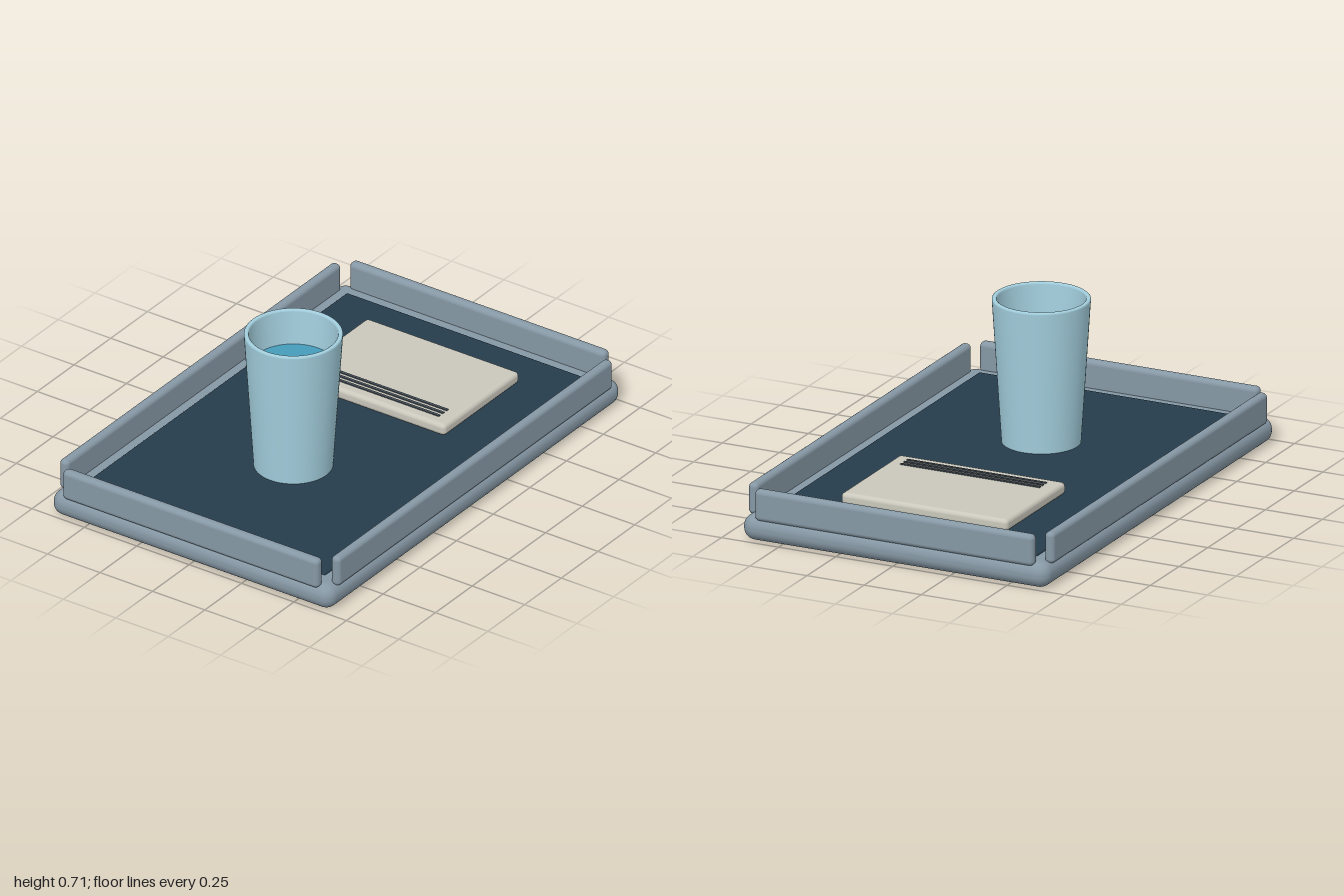
import * as THREE from 'three';
import { RoundedBoxGeometry } from 'three/addons/geometries/RoundedBoxGeometry.js';

const paint = (color, side = THREE.FrontSide) => new THREE.MeshStandardMaterial({ color, side });

export function createModel() {
  const model = new THREE.Group();
  const trayGrey = paint(0x8698a5);
  const glassBlue = paint(0xa3cfde);
  const liquidBlue = paint(0x469cba);
  const matNavy = paint(0x263c4b);
  const paper = paint(0xcac8bc);
  const ink = paint(0x47525c);

  const add = (name, geometry, material, x, y, z, parent = model) => {
    const mesh = new THREE.Mesh(geometry, material);
    mesh.name = name;
    mesh.position.set(x, y, z);
    parent.add(mesh);
    return mesh;
  };

  // Tray base with the inset mat
  add('trayBase', new RoundedBoxGeometry(2, 0.106, 1.34, 6, 0.05), trayGrey, 0, 0.053, 0);
  add('mat', new RoundedBoxGeometry(1.82, 0.03, 1.17, 3, 0.008), matNavy, 0, 0.1, 0);

  // Four upright rims, leaving open corners
  for (const s of [1, -1]) {
    add(s > 0 ? 'frontRim' : 'backRim',
      new RoundedBoxGeometry(1.87, 0.13, 0.042, 4, 0.019), trayGrey, 0, 0.155, s * 0.648);
    add(s > 0 ? 'leftRim' : 'rightRim',
      new RoundedBoxGeometry(0.045, 0.13, 1.22, 4, 0.02), trayGrey, s * 0.977, 0.155, 0);
  }

  // Tapered cup: outer wall, rounded lip, inner wall and floor
  const cup = new THREE.Group();
  cup.name = 'cup';
  cup.position.set(-0.29, 0.113, 0);
  model.add(cup);
  const profile = [
    [0, 0], [0.156, 0], [0.156, 0], [0.194, 0.588], [0.193, 0.594], [0.189, 0.597],
    [0.18, 0.597], [0.176, 0.594], [0.175, 0.588], [0.143, 0.03], [0.143, 0.03], [0, 0.03],
  ].map(([r, y]) => new THREE.Vector2(r, y));
  add('cupWall', new THREE.LatheGeometry(profile, 64), glassBlue, 0, 0, 0, cup);
  add('liquid', new THREE.CylinderGeometry(0.167, 0.165, 0.02, 64), liquidBlue, 0, 0.437, 0, cup);

  // Notebook with three stripes beside its spine
  const book = new THREE.Group();
  book.name = 'notebook';
  book.position.set(0.475, 0.113, 0);
  model.add(book);
  add('cover', new RoundedBoxGeometry(0.515, 0.05, 0.73, 4, 0.018), paper, 0, 0.025, 0, book);
  for (let i = 0; i < 3; i++) {
    add('stripe', new THREE.BoxGeometry(0.012, 0.006, 0.61), ink, -0.204 + i * 0.027, 0.051, 0, book);
  }

  return model;
}
